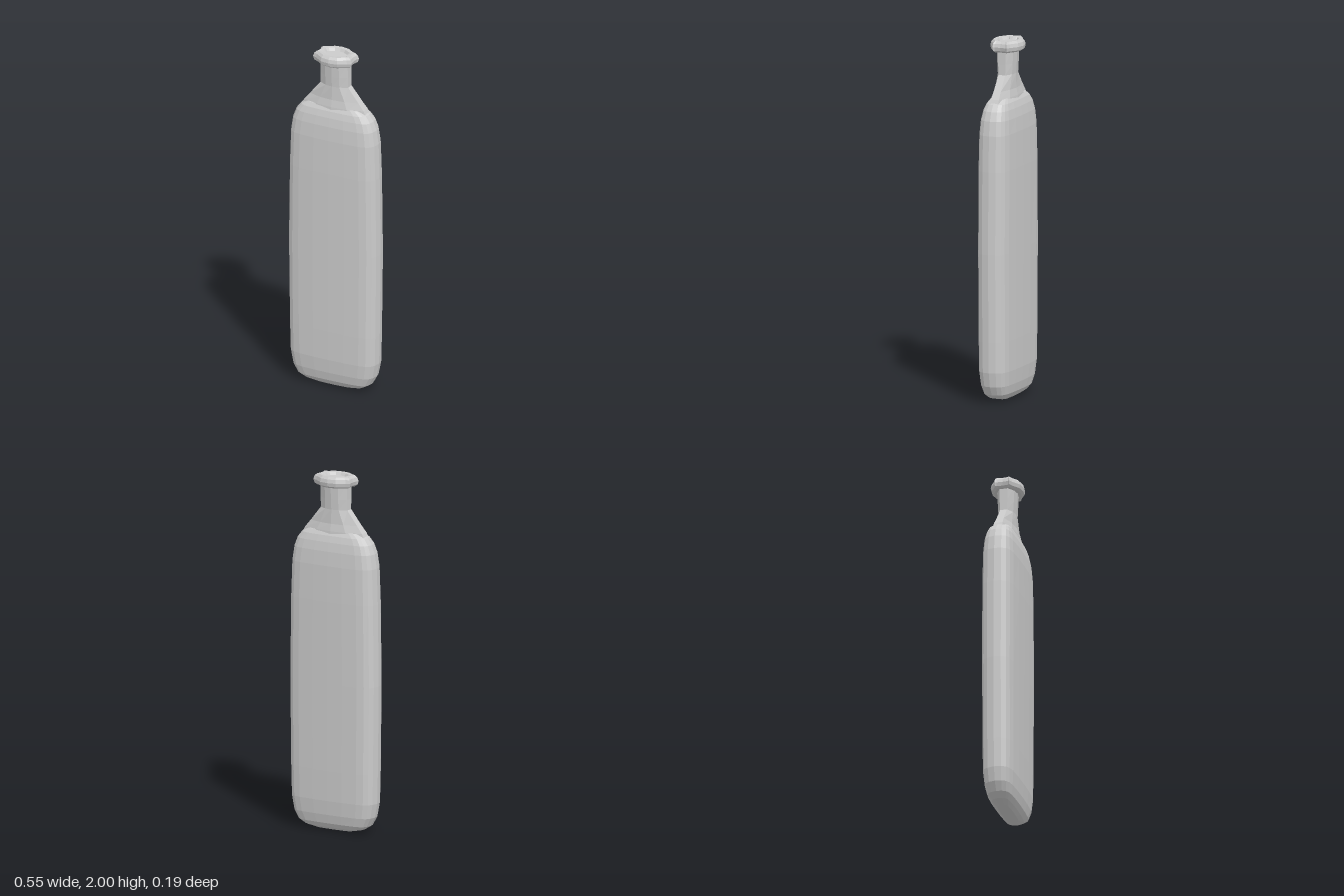
import * as THREE from 'three';

const material = new THREE.MeshStandardMaterial({ color: 0xcccccc, flatShading: true, side: THREE.DoubleSide });

// Mirrors a quarter outline (from the +x end to the +z end) into a closed loop
function mirrorQuarter(quarter) {
  const back = [...quarter].reverse();
  const loop = [
    ...quarter,
    ...back.map(([x, z]) => [-x, z]),
    ...quarter.map(([x, z]) => [-x, -z]),
    ...back.map(([x, z]) => [x, -z]),
  ];
  return loop.filter(([x, z], i) => {
    const [px, pz] = loop[(i + loop.length - 1) % loop.length];
    return Math.hypot(x - px, z - pz) > 1e-6;
  });
}

// Skins stations [y, halfWidth, halfDepth] that all share one unit outline
function loft(name, quarter, stations) {
  const loop = mirrorQuarter(quarter);
  const n = loop.length;
  const positions = [];
  const index = [];
  stations.forEach(([y, w, d], row) => {
    loop.forEach(([x, z], i) => {
      positions.push(x * w, y, z * d);
      if (row === stations.length - 1) return;
      const a = row * n + i;
      const b = row * n + (i + 1) % n;
      if (w > 0) index.push(a, a + n, b);
      if (stations[row + 1][1] > 0) index.push(b, a + n, b + n);
      else if (w === 0) index.push(a, a + n, b);
    });
  });
  const indexed = new THREE.BufferGeometry();
  indexed.setAttribute('position', new THREE.Float32BufferAttribute(positions, 3));
  indexed.setIndex(index);
  const geometry = indexed.toNonIndexed();
  geometry.computeVertexNormals();
  const mesh = new THREE.Mesh(geometry, material);
  mesh.name = name;
  return mesh;
}

export function createModel() {
  const group = new THREE.Group();
  group.name = 'flatBottle';

  // Flat body with softly rounded ends
  group.add(loft('body',
    [[1, 0], [0.975, 0.42], [0.92, 0.69], [0.83, 0.84], [0.68, 0.93], [0.35, 0.985], [0, 1]],
    [
      [0.005, 0, 0], [0.01, 0.12, 0.035], [0.025, 0.185, 0.055], [0.05, 0.225, 0.073],
      [0.1, 0.252, 0.084], [0.18, 0.267, 0.091], [0.35, 0.271, 0.093], [0.84, 0.277, 0.094],
      [1.3, 0.271, 0.094], [1.5, 0.264, 0.091], [1.58, 0.252, 0.085], [1.63, 0.233, 0.076],
      [1.665, 0.205, 0.065], [1.688, 0.165, 0.052], [1.695, 0.1, 0.035], [1.697, 0, 0],
    ]));

  // Tapering shoulder and narrow neck with flat side strips
  group.add(loft('neck',
    [[1, 0.42], [0.5, 0.88], [0, 1]],
    [
      [1.65, 0.205, 0.062], [1.69, 0.183, 0.058], [1.73, 0.15, 0.05],
      [1.81, 0.086, 0.048], [1.87, 0.085, 0.052], [1.96, 0.085, 0.057],
    ]));

  // Rounded lip with notched ends and a shallow recessed mouth
  group.add(loft('lip',
    [[0.92, 0], [0.95, 0.36], [1, 0.46], [0.8, 0.57], [0.42, 0.91], [0, 1]],
    [
      [1.94, 0, 0], [1.937, 0.1, 0.074], [1.947, 0.114, 0.088], [1.967, 0.12, 0.092],
      [1.987, 0.114, 0.087], [2, 0.1, 0.075], [1.998, 0.078, 0.056],
      [1.983, 0.066, 0.046], [1.983, 0, 0],
    ]));

  return group;
}
